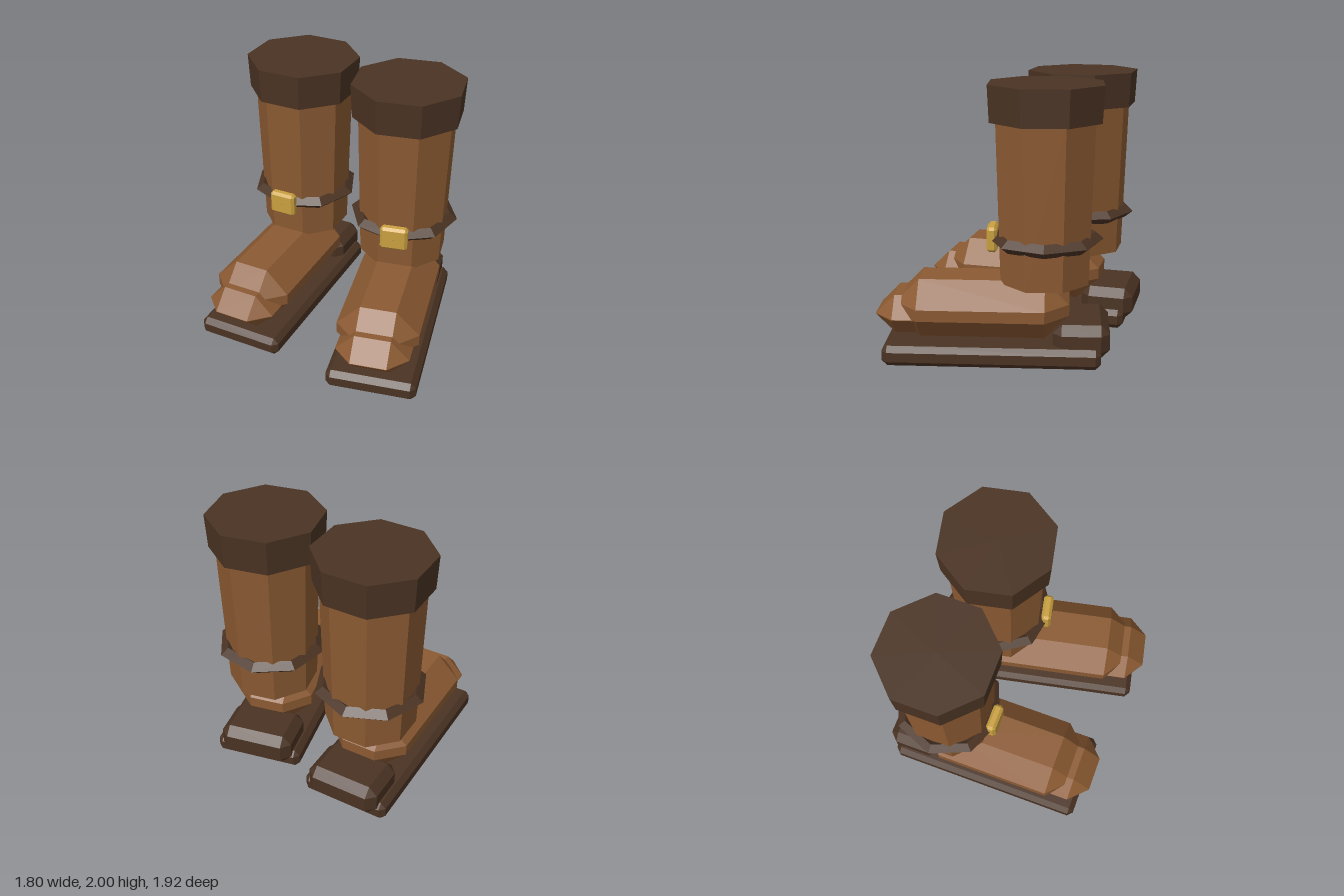
import * as THREE from 'three';
import { ConvexGeometry } from 'three/addons/geometries/ConvexGeometry.js';

function material(name, color) {
  const m = new THREE.MeshStandardMaterial({ color, flatShading: true });
  m.name = name;
  return m;
}

// Box with every edge and corner chamfered by b
function chamferBox(w, h, l, b) {
  const points = [];
  const [x, y, z] = [w / 2, h / 2, l / 2];
  for (const sx of [-1, 1]) for (const sy of [-1, 1]) for (const sz of [-1, 1]) {
    points.push(
      new THREE.Vector3(sx * x, sy * (y - b), sz * (z - b)),
      new THREE.Vector3(sx * (x - b), sy * y, sz * (z - b)),
      new THREE.Vector3(sx * (x - b), sy * (y - b), sz * z));
  }
  return new ConvexGeometry(points);
}

// Eight-sided tapered column with a flat side facing the front
function octagon(top, bottom, y0, y1) {
  return new THREE.CylinderGeometry(top, bottom, y1 - y0, 8)
    .rotateY(Math.PI / 8)
    .translate(0, (y0 + y1) / 2, 0);
}

export function createModel() {
  const leather = material('brown leather', 0x8b5a32);
  const dark = material('dark leather', 0x4a3323);
  const gold = material('brass', 0xc9a040);

  function createBoot(name) {
    const boot = new THREE.Group();
    boot.name = name;
    const add = (part, geometry, mat, y = 0, z = 0) => {
      const mesh = new THREE.Mesh(geometry, mat);
      mesh.name = part;
      mesh.position.set(0, y, z);
      boot.add(mesh);
    };

    // Leg of the boot, measured from the shaft axis
    add('shaft', octagon(0.376, 0.34, 0.575, 1.8), leather);
    add('cuff', octagon(0.433, 0.42, 1.74, 2), dark);

    // Ankle strap: diamond section, corners midway along the shaft's flats
    const strap = new THREE.TorusGeometry(0.36, 0.06, 4, 8).rotateX(Math.PI / 2).scale(1, 0.83, 1);
    add('strap', strap, dark, 0.887);
    add('buckle', chamferBox(0.21, 0.185, 0.076, 0.02), gold, 0.887, 0.379);

    // Foot
    add('foot', chamferBox(0.62, 0.435, 1.26, 0.175), leather, 0.3825, 0.45);
    add('toeCap', chamferBox(0.55, 0.285, 0.5, 0.14), leather, 0.3325, 0.975);
    add('sole', chamferBox(0.68, 0.15, 1.57, 0.04), dark, 0.075, 0.375);
    add('heel', chamferBox(0.57, 0.25, 0.41, 0.065), dark, 0.18, -0.268);
    return boot;
  }

  // The pair stands with the toes turned out and the left boot a step ahead
  const model = new THREE.Group();
  model.name = 'boots';
  const left = createBoot('leftBoot');
  left.position.set(0.463, 0, -0.275);
  left.rotation.y = 0.088;
  const right = createBoot('rightBoot');
  right.position.set(-0.432, 0, -0.463);
  right.rotation.y = -0.12;
  model.add(left, right);
  return model;
}
